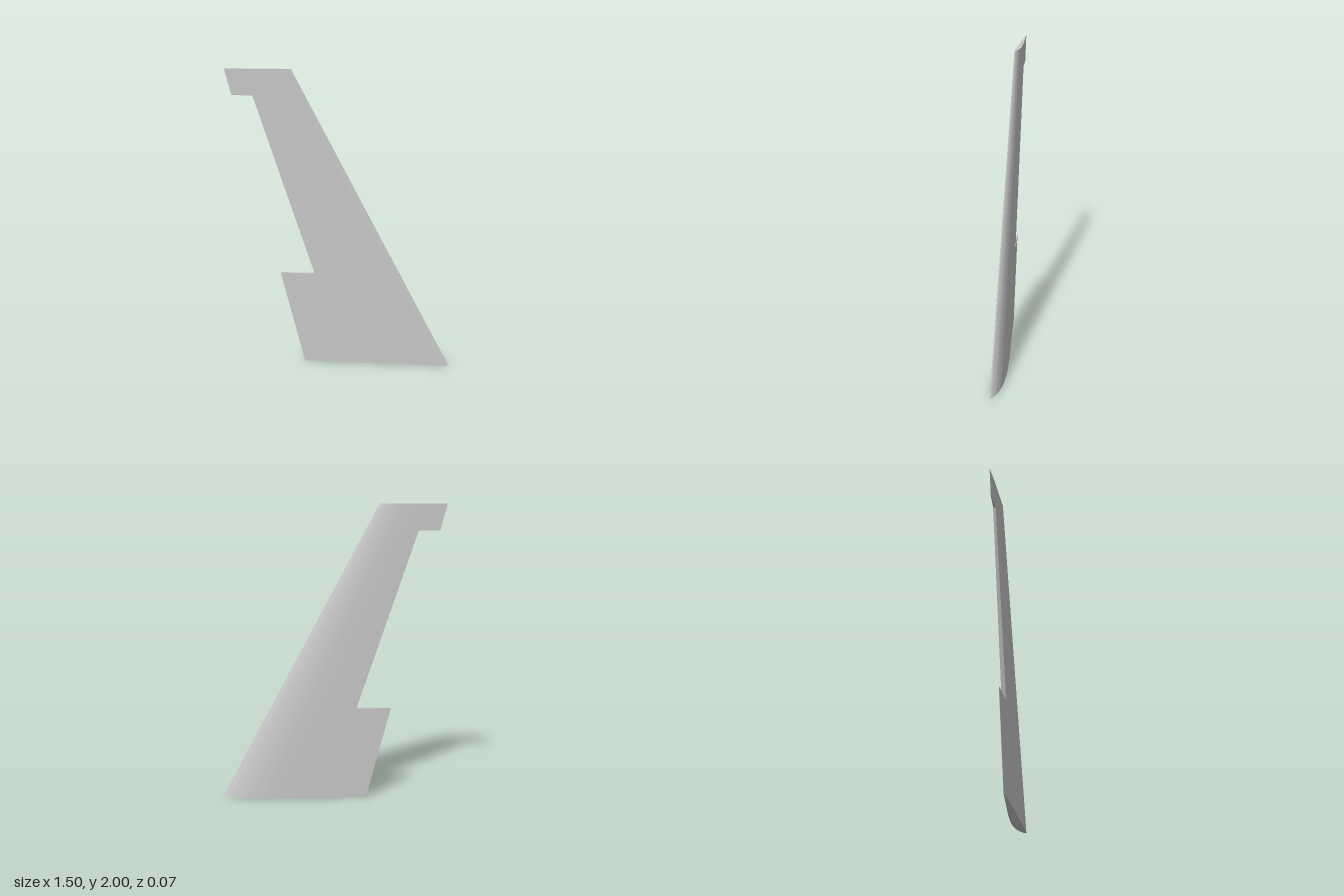
import * as THREE from 'three';

// Airfoil knots: [fraction of chord from the leading edge, depth behind the front plane / chord]
const BACK = [[1, 0.043], [0.713, 0.058], [0.5, 0.071], [0.34, 0.077], [0.24, 0.076], [0.14, 0.066], [0.06, 0.046], [0.02, 0.026]];
const NOSE = [0, 0.008];
const FRONT = [[0.02, 0.003], [0.06, 0.001], [0.14, 0.003], [0.24, 0.006], [0.34, 0.009], [0.5, 0.014], [0.713, 0.022], [1, 0.041]];
const STEPS = 4; // points per knot interval
const TOP = 2, CUT_LOW = 0.63, CUT_HIGH = 1.828;

const spline = new THREE.SplineCurve([...BACK, NOSE, ...FRONT].map(p => new THREE.Vector2(...p)));
const profile = spline.getPoints(16 * STEPS);

// Airfoil loop at height y: back trailing edge, around the nose, to front trailing edge.
// The trailing edge is washed forward towards the root.
function section(y) {
  const t = y / TOP;
  const lead = THREE.MathUtils.lerp(0.752, -0.31, t);
  const trail = THREE.MathUtils.lerp(-0.235, -0.753, t);
  const chord = lead - trail;
  return profile.map(p => {
    const twist = 0.032 * (1 - t) * Math.pow(Math.max(p.x, 0), 1.4);
    return new THREE.Vector3(lead - p.x * chord, y, 0.035 - p.y * chord + twist);
  });
}

// Strip of quads between two rows of points
function strip(name, rowA, rowB, material) {
  const n = rowA.length, index = [];
  for (let i = 0; i < n - 1; i++) {
    index.push(i, n + i, i + 1, i + 1, n + i, n + i + 1);
  }
  const geometry = new THREE.BufferGeometry().setFromPoints([...rowA, ...rowB]);
  geometry.setIndex(index);
  geometry.computeVertexNormals();
  const mesh = new THREE.Mesh(geometry, material);
  mesh.name = name;
  return mesh;
}

export function createModel() {
  const grey = new THREE.MeshStandardMaterial({ color: 0xc8c8c8 });
  grey.name = 'wing light grey';
  const wing = new THREE.Group();
  wing.name = 'wing';

  // Spanwise panel: curved skin plus its rear wall; trim drops the flap area
  function panel(name, y0, y1, trim) {
    const group = new THREE.Group();
    group.name = name;
    const [low, high] = [y0, y1].map(y => section(y).slice(trim, profile.length - trim));
    const ends = row => [row[row.length - 1], row[0]];
    group.add(strip('skin', low, high, grey));
    group.add(strip('rearWall', ends(low), ends(high), grey));
    wing.add(group);
  }
  panel('rootPanel', 0, CUT_LOW, 0);
  panel('flapBayPanel', CUT_LOW, CUT_HIGH, STEPS);
  panel('tipPanel', CUT_HIGH, TOP, 0);

  // Flat ribs closing the ends and the flap cutout, from nose to trailing edge
  function rib(name, y, count, up) {
    const loop = section(y);
    const back = loop.slice(0, count).reverse();
    const front = loop.slice(-count);
    wing.add(up ? strip(name, front, back, grey) : strip(name, back, front, grey));
  }
  const full = 8 * STEPS + 1, aft = STEPS + 1;
  rib('rootRib', 0, full, false);
  rib('lowerCutoutRib', CUT_LOW, aft, true);
  rib('upperCutoutRib', CUT_HIGH, aft, false);
  rib('tipRib', TOP, full, true);

  return wing;
}
